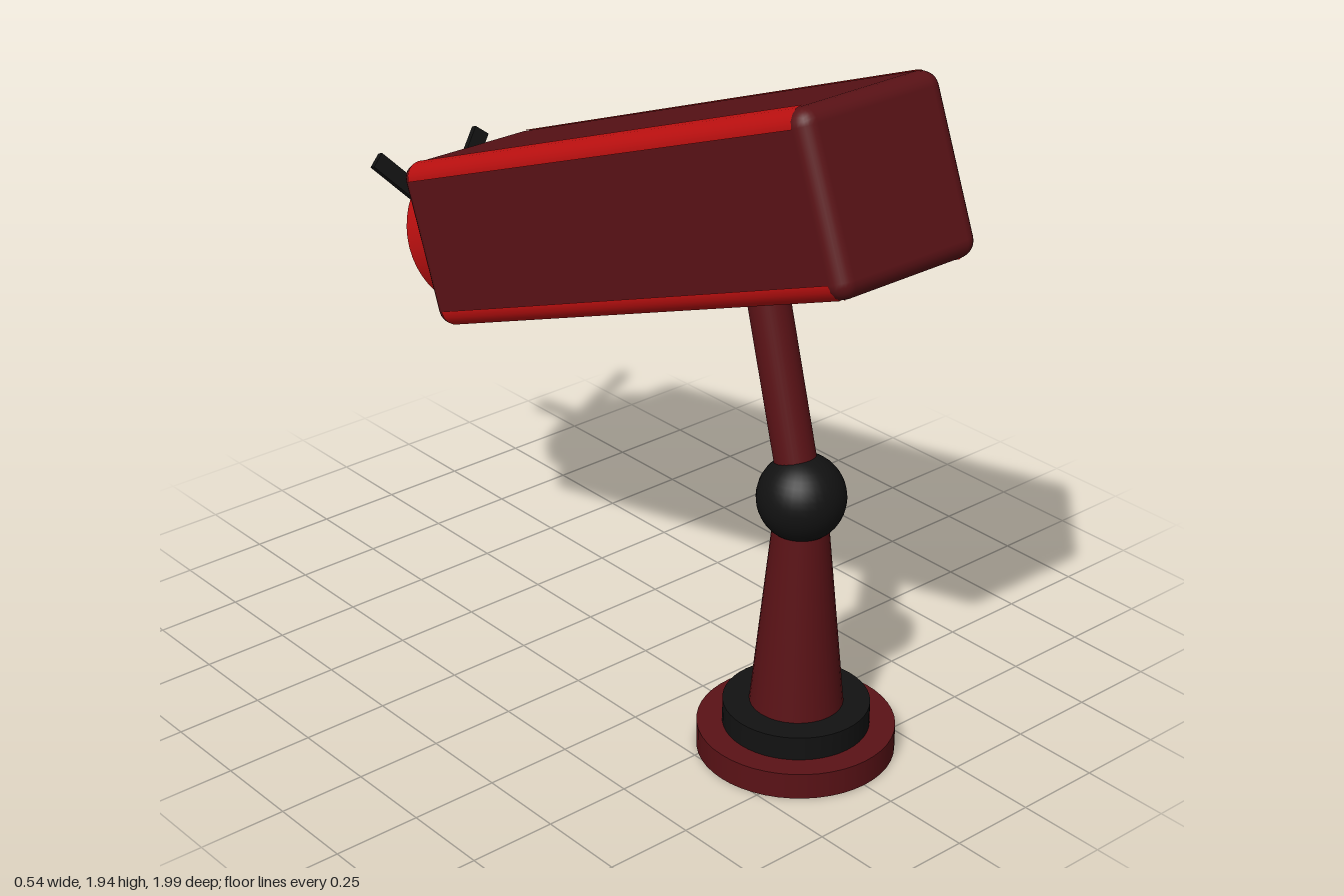
import * as THREE from 'three';
import { RoundedBoxGeometry } from 'three/addons/geometries/RoundedBoxGeometry.js';

const mat = (color, side = THREE.FrontSide) => new THREE.MeshStandardMaterial({ color, side });
const darkRed = mat(0x5a1216);
const red = mat(0xbe1010, THREE.DoubleSide);
const black = mat(0x121212);
const white = mat(0xe6e6e6);

function add(parent, name, geometry, material, x = 0, y = 0, z = 0) {
  const mesh = new THREE.Mesh(geometry, material);
  mesh.name = name;
  mesh.position.set(x, y, z);
  parent.add(mesh);
  return mesh;
}

// Dome: half ellipsoid bulging toward -z
const DOME_R = 0.215, DOME_H = 0.11;
function domePoint(r, angle, lift = 1.02) {
  const h = DOME_H * Math.sqrt(Math.max(0, 1 - (r / DOME_R) ** 2));
  return [r * Math.cos(angle) * lift, r * Math.sin(angle) * lift, -h * lift - 0.001];
}
function bulge(radius, height) {
  const g = new THREE.SphereGeometry(1, 40, 14, 0, Math.PI * 2, 0, Math.PI / 2);
  return g.rotateX(-Math.PI / 2).scale(radius, radius, height);
}

// Zigzag ribbon running outward over the dome
function veinGeometry(angle) {
  const jogs = 5, steps = 4, pos = [], index = [];
  for (let i = 0; i <= jogs * steps; i++) {
    const t = i / (jogs * steps), k = i / steps;
    const r = 0.05 + 0.15 * t;
    const zig = Math.abs((k % 2) - 1) - 0.5;
    for (const s of [-1, 1]) {
      const offset = zig * 0.06 + s * 0.016;
      pos.push(...domePoint(r, angle + offset / r));
    }
    if (i) {
      const a = 2 * i - 2;
      index.push(a, a + 1, a + 2, a + 1, a + 3, a + 2);
    }
  }
  const g = new THREE.BufferGeometry();
  g.setAttribute('position', new THREE.Float32BufferAttribute(pos, 3));
  g.setIndex(index);
  g.computeVertexNormals();
  return g;
}

function createStand() {
  const stand = new THREE.Group();
  stand.name = 'stand';
  stand.position.z = 0.63;
  add(stand, 'baseDisc', new THREE.CylinderGeometry(0.27, 0.27, 0.075, 48), darkRed, 0, 0.0375);
  add(stand, 'baseCollar', new THREE.CylinderGeometry(0.2, 0.2, 0.07, 48), black, 0, 0.108);
  add(stand, 'taperedPost', new THREE.CylinderGeometry(0.075, 0.128, 0.54, 32), darkRed, 0, 0.41);
  add(stand, 'ballJoint', new THREE.SphereGeometry(0.12, 32, 20), black, 0, 0.76);
  // Rod leaning back from the ball into the underside of the body
  const rod = new THREE.CylinderGeometry(0.057, 0.057, 0.64, 32).translate(0, 0.32, 0);
  add(stand, 'supportRod', rod, darkRed, 0, 0.76).rotation.x = -0.265;
  return stand;
}

function createHead() {
  const head = new THREE.Group();
  head.name = 'head';
  head.rotation.x = THREE.MathUtils.degToRad(-21.3);
  const up = 1.28, length = 1.77, mid = 0.605;

  // Housing with a bright quarter-round strip along each long edge
  add(head, 'housing', new RoundedBoxGeometry(0.474, 0.474, length, 3, 0.045), darkRed, 0, up, mid);
  const strip = new THREE.CylinderGeometry(0.05, 0.05, length - 0.09, 4, 1, true, Math.PI / 2, Math.PI / 2);
  strip.rotateX(Math.PI / 2).translate(0.19, 0.19, 0);
  for (let i = 0; i < 4; i++) {
    add(head, 'edgeStrip', strip, red, 0, up, mid).rotation.z = i * Math.PI / 2;
  }

  // Collar and domed eye at the rear end
  const eye = new THREE.Group();
  eye.name = 'eye';
  eye.position.set(0, up, -0.33);
  head.add(eye);
  const ring = new THREE.CylinderGeometry(0.226, 0.226, 0.09, 48).rotateX(Math.PI / 2);
  add(eye, 'collar', ring, red, 0, 0, 0.038);
  add(eye, 'dome', bulge(DOME_R, DOME_H), white);
  for (let i = 0; i < 5; i++) {
    add(eye, 'vein', veinGeometry(Math.PI / 2 + 0.2 + i * Math.PI * 0.4), red);
  }
  add(eye, 'pupil', bulge(0.075, 0.05), red, 0, 0, -0.075);

  // Two bars spread in a V
  for (const side of [-1, 1]) {
    const bar = new THREE.BoxGeometry(0.05, 0.29, 0.02).translate(0, 0.145, 0);
    add(eye, 'crossBar', bar, black, 0, 0.04, -0.122).rotation.z = -side * 0.71;
  }
  return head;
}

export function createModel() {
  const model = new THREE.Group();
  model.name = 'swivelCamera';
  model.add(createStand(), createHead());
  return model;
}
